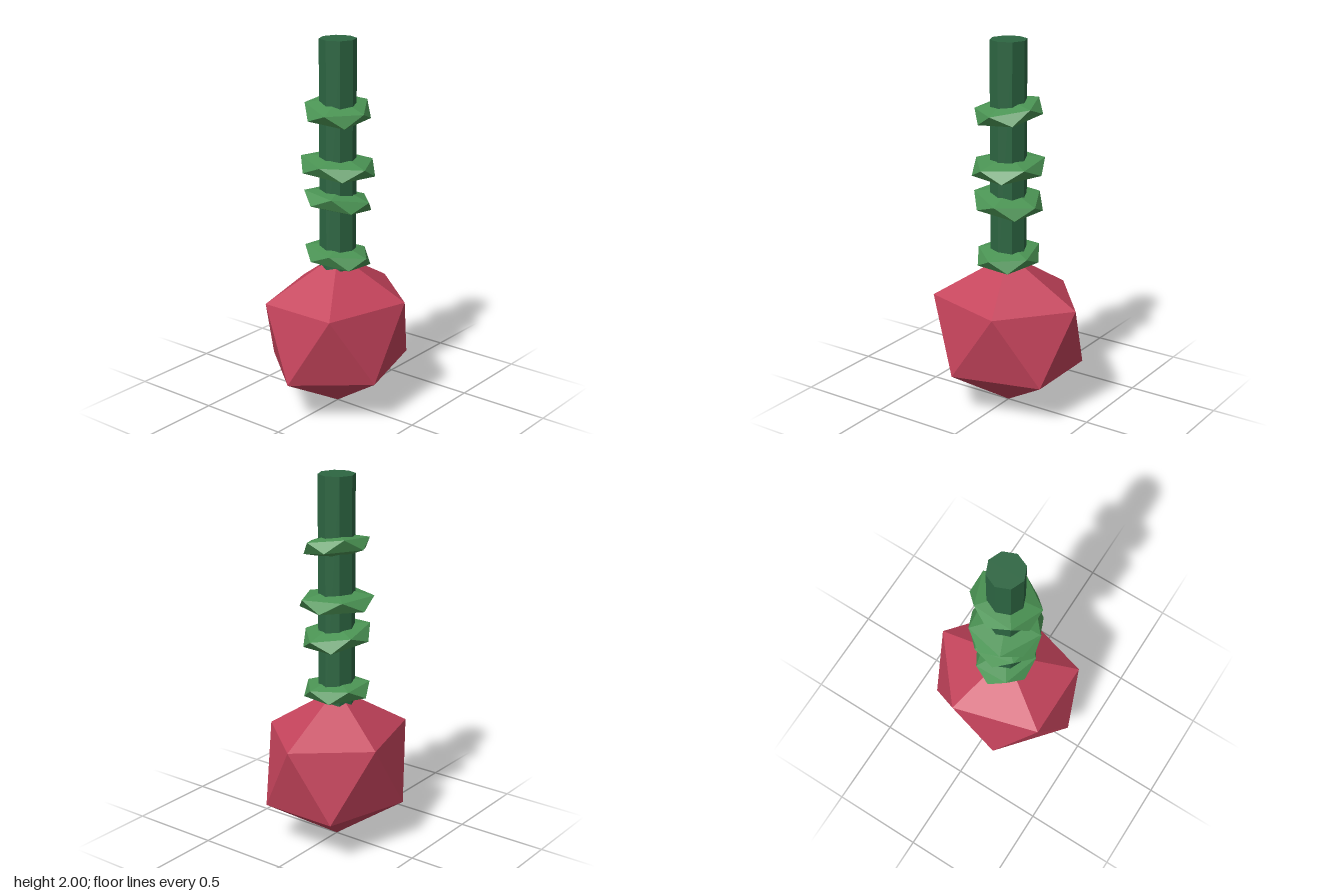
import * as THREE from 'three';

const paint = (name, color) => {
  const m = new THREE.MeshStandardMaterial({ color, flatShading: true });
  m.name = name;
  return m;
};

// Icosahedron standing on a corner; yaw (degrees, x towards z) aims one corner of its upper ring.
// rx and rz are the radii of the corner rings, ry is the pole height.
function nugget(rx, ry, rz, yaw) {
  const g = new THREE.IcosahedronGeometry(1, 0);
  g.rotateZ(Math.atan(2 / (1 + Math.sqrt(5))));
  g.rotateY(Math.PI - THREE.MathUtils.degToRad(yaw));
  const ring = 2 / Math.sqrt(5);
  g.scale(rx / ring, ry, rz / ring);
  g.computeVertexNormals();
  return g;
}

export function createModel() {
  const model = new THREE.Group();
  model.name = 'facetedBulb';
  const red = paint('bulb red', 0xc4435b);
  const stemGreen = paint('stem green', 0x2d6642);
  const leafGreen = paint('collar green', 0x4b9454);

  const add = (name, geometry, material, y) => {
    const mesh = new THREE.Mesh(geometry, material);
    mesh.name = name;
    mesh.position.y = y;
    model.add(mesh);
    return mesh;
  };

  // Faceted bulb at the foot
  add('bulb', nugget(0.42, 0.425, 0.365, 0), red, 0.428);

  // Eight-sided stem
  const bottom = 0.78, top = 2;
  add('stem', new THREE.CylinderGeometry(0.097, 0.097, top - bottom, 8), stemGreen, (top + bottom) / 2);

  // Flattened, slightly tilted collars: height, radii, yaw, tilt about x and z
  const collars = [
    [0.85, 0.16, 0.187, 90, 0.09, -0.06],
    [1.15, 0.186, 0.182, 10, 0.08, -0.16],
    [1.335, 0.187, 0.205, 101, 0.07, 0],
    [1.63, 0.183, 0.167, 90, 0.18, 0.1],
  ];
  collars.forEach(([y, rx, rz, yaw, tiltX, tiltZ], i) => {
    const collar = add(`collar${i + 1}`, nugget(rx, 0.067, rz, yaw), leafGreen, y);
    collar.rotation.set(tiltX, 0, tiltZ);
  });

  return model;
}
